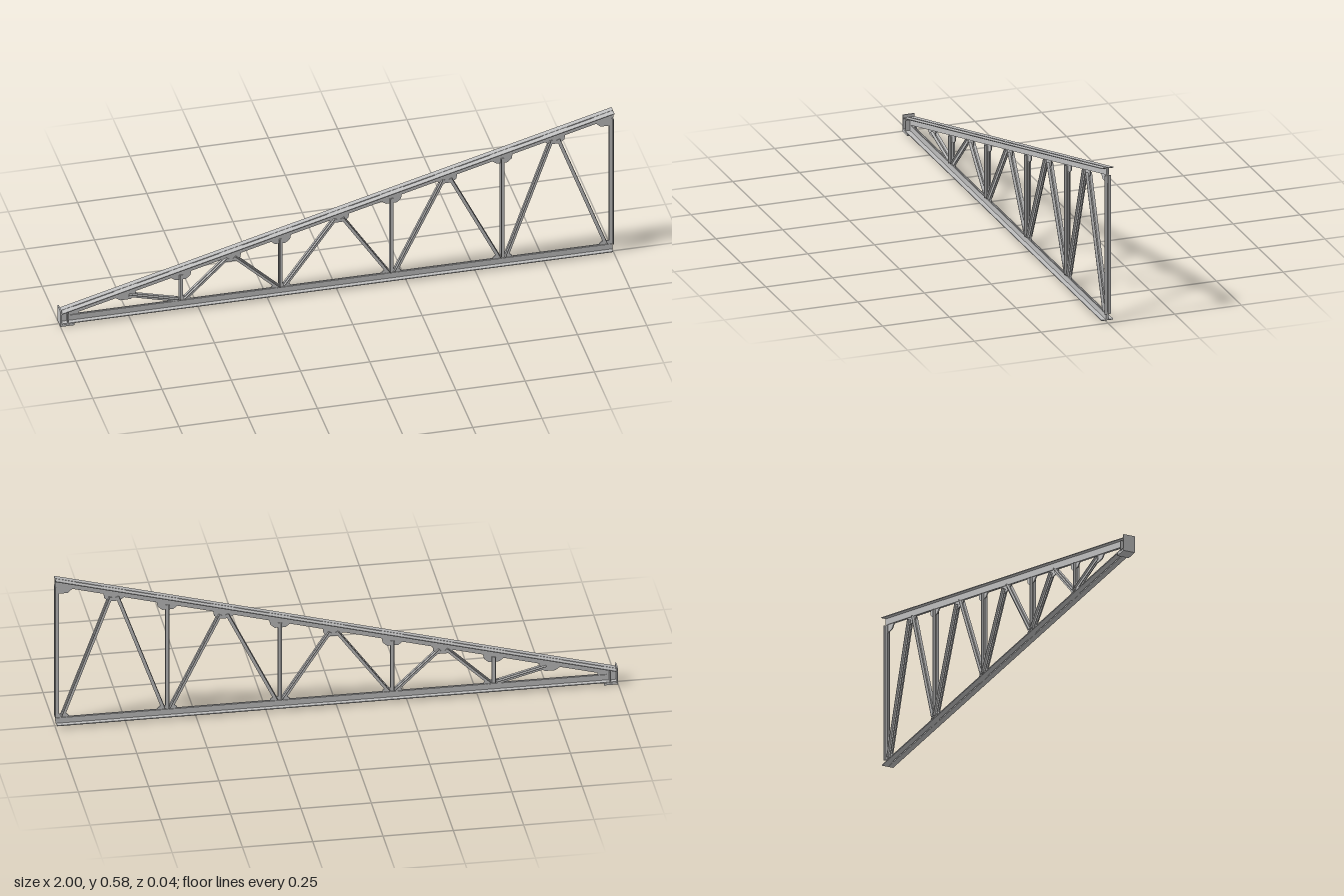
import * as THREE from 'three';

export function createModel() {
  const model = new THREE.Group();
  model.name = 'roofTruss';
  const steel = new THREE.MeshStandardMaterial({ color: 0xbdbdbd });
  steel.name = 'grey steel';

  const GAP = 0.002; // half the space between paired angles
  const topY = (x) => 0.318 + 0.267 * x; // upper edge of the rafter

  function add(geometry, name) {
    const mesh = new THREE.Mesh(geometry, steel);
    mesh.name = name;
    model.add(mesh);
    return mesh;
  }

  // Pair of L-angles from p to q; the legs point to the right of travel.
  // plumb: legs hang vertically so the ends are cut upright.
  function anglePair(name, p, q, flange, leg, t, { plumb = false, centred = false } = {}) {
    const d = new THREE.Vector3(q[0] - p[0], q[1] - p[1], 0);
    const length = d.length();
    d.normalize();
    const n = plumb ? new THREE.Vector3(0, -1, 0) : new THREE.Vector3(d.y, -d.x, 0);
    const shift = centred ? -leg / 2 : 0;
    for (const s of [1, -1]) {
      const outline = [[0, 0], [flange, 0], [flange, t], [t, t], [t, leg], [0, leg]];
      const shape = new THREE.Shape(outline.map(([u, v]) => new THREE.Vector2(s * (GAP + u), v + shift)));
      const geo = new THREE.ExtrudeGeometry(shape, { depth: length, bevelEnabled: false });
      const m = new THREE.Matrix4().makeBasis(new THREE.Vector3(0, 0, 1), n, d);
      m.setPosition(p[0], p[1], 0);
      add(geo.applyMatrix4(m), name + (s > 0 ? 'Front' : 'Back'));
    }
  }

  // Flat plate in the middle plane, between the paired angles
  function gusset(name, points) {
    const shape = new THREE.Shape(points.map(([x, y]) => new THREE.Vector2(x, y)));
    const geo = new THREE.ExtrudeGeometry(shape, { depth: GAP * 2, bevelEnabled: false });
    add(geo.translate(0, 0, -GAP), name);
  }

  function box(name, x0, x1, y0, y1, z0, z1) {
    const geo = new THREE.BoxGeometry(x1 - x0, y1 - y0, z1 - z0);
    add(geo.translate((x0 + x1) / 2, (y0 + y1) / 2, (z0 + z1) / 2), name);
  }

  // Chords
  anglePair('topChord', [-0.995, topY(-0.995)], [1, topY(1)], 0.02, 0.027, 0.003, { plumb: true });
  anglePair('bottomChord', [0.995, 0.009], [-0.995, 0.009], 0.02, 0.024, 0.003);

  // Web members
  const web = (name, p, q) => anglePair(name, p, q, 0.01, 0.013, 0.0025, { centred: true });
  const upper = [-0.76, -0.38, 0.01, 0.4, 0.79];
  const lower = [-0.56, -0.2, 0.2, 0.6, 0.985];
  const FOOT = 0.036;
  const head = (x) => topY(x) - 0.03;
  upper.forEach((x, i) => {
    const foot = lower[i] - 0.012;
    web('fallingDiagonal', [x + 0.012, head(x) - 0.003], [foot, FOOT]);
    if (i > 0) web('risingDiagonal', [lower[i - 1] + 0.014, FOOT], [x - 0.012, head(x) - 0.003]);
  });
  lower.slice(0, 4).forEach((x) => web('vertical', [x, FOOT], [x, head(x)]));
  anglePair('endPost', [1, 0.555], [1, 0.034], 0.01, 0.015, 0.0025);

  // Gusset plates below the top chord
  for (const x of [...upper, ...lower.slice(0, 4)]) {
    gusset('topGusset', [
      [x - 0.042, topY(x - 0.042) - 0.001], [x - 0.036, topY(x) - 0.038], [x - 0.02, topY(x) - 0.05],
      [x + 0.018, topY(x) - 0.05], [x + 0.034, topY(x) - 0.036], [x + 0.042, topY(x + 0.042) - 0.001],
    ]);
  }
  gusset('ridgeGusset', [
    [0.93, topY(0.93) - 0.001], [0.938, 0.54], [0.955, 0.525], [0.997, 0.525], [0.997, topY(0.997) - 0.001],
  ]);

  // Gusset plates above the bottom chord
  for (const x of lower) {
    const r = Math.min(x + 0.035, 0.997);
    gusset('bottomGusset', [[x - 0.035, 0.01], [r, 0.01], [r, 0.038], [r - 0.01, 0.047], [x - 0.025, 0.047], [x - 0.035, 0.038]]);
  }

  // Bearing shoe at the low end
  gusset('heelGusset', [[-0.995, 0.008], [-0.93, 0.008], [-0.93, 0.045], [-0.95, topY(-0.95) - 0.001], [-0.995, topY(-0.995) - 0.001]]);
  box('shoeEndPlate', -1, -0.995, 0, 0.063, -0.022, 0.022);
  box('shoeBasePlate', -0.995, -0.95, 0, 0.008, -0.022, 0.022);
  for (const s of [1, -1]) {
    const z = [s * GAP, s * 0.021].sort((a, b) => a - b);
    box('shoeStiffener', -0.974, -0.97, 0.012, 0.05, z[0], z[1]);
  }
  return model;
}
